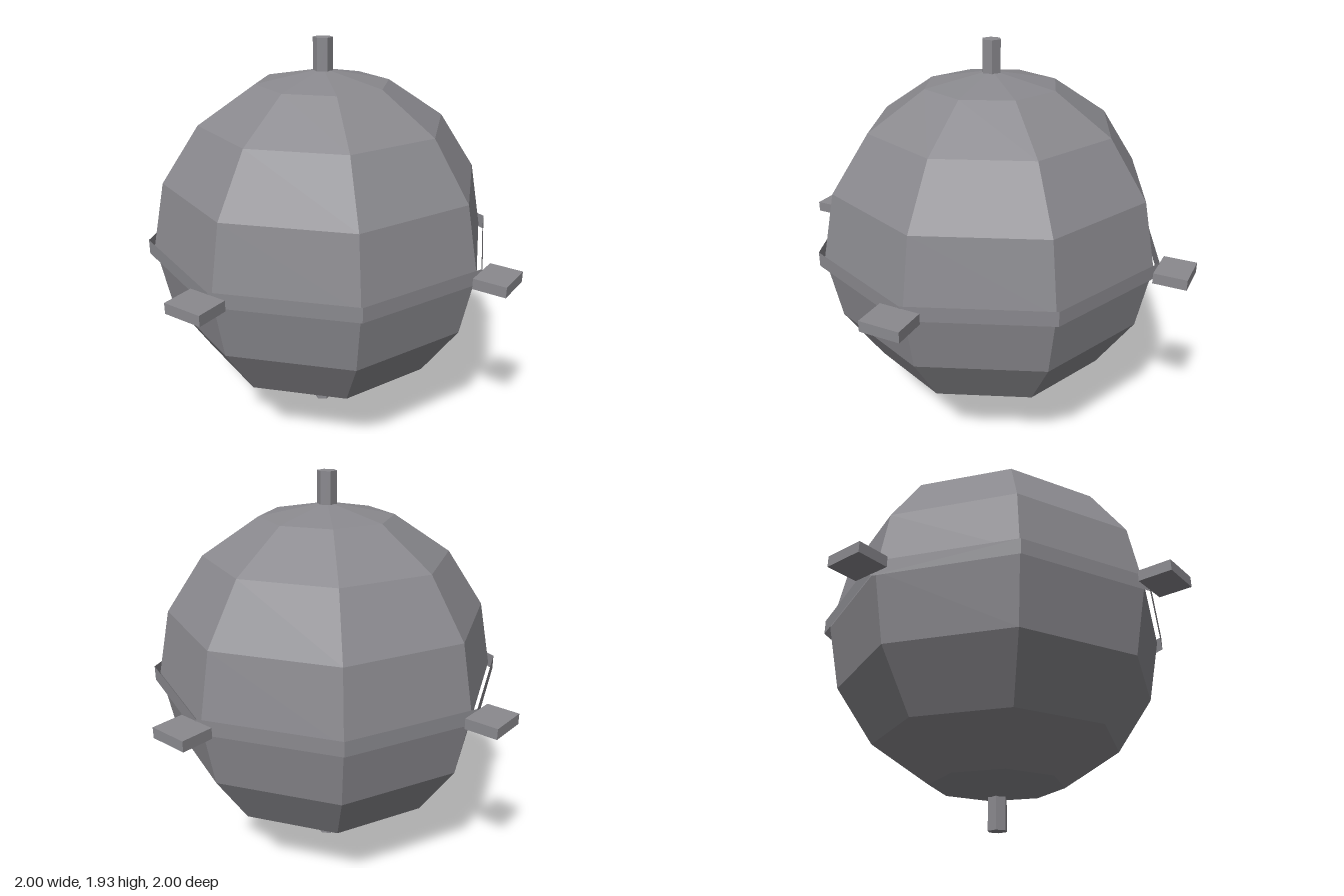
import * as THREE from 'three';

const MID = 0.965; // height of the equator
const R = 0.825;

export function createModel() {
  const model = new THREE.Group();
  const metal = new THREE.MeshStandardMaterial({ color: 0x8a898e, flatShading: true });
  metal.name = 'grey metal';
  const bandMetal = metal.clone();
  bandMetal.name = 'grey metal band';
  bandMetal.side = THREE.DoubleSide;

  const add = (name, geometry, material = metal) => {
    const mesh = new THREE.Mesh(geometry, material);
    mesh.name = name;
    model.add(mesh);
    return mesh;
  };

  // Faceted ball
  add('body', new THREE.SphereGeometry(R, 8, 8)).position.y = MID;

  // Open eight-sided band standing just clear of the equator
  add('equatorBand', new THREE.CylinderGeometry(0.85, 0.85, 0.07, 8, 1, true), bandMetal).position.y = MID;

  // Hexagonal pegs at both poles
  for (const [name, side] of [['topPeg', 1], ['bottomPeg', -1]]) {
    add(name, new THREE.CylinderGeometry(0.046, 0.046, 0.18, 6)).position.y = MID + side * 0.875;
  }

  // Four flat tabs around the equator
  ['frontTab', 'leftTab', 'backTab', 'rightTab'].forEach((name, i) => {
    const angle = i * Math.PI / 2;
    const tab = add(name, new THREE.BoxGeometry(0.19, 0.05, 0.153));
    tab.position.set(Math.sin(angle) * 0.9235, MID, Math.cos(angle) * 0.9235);
    tab.rotation.y = angle;
  });

  return model;
}
